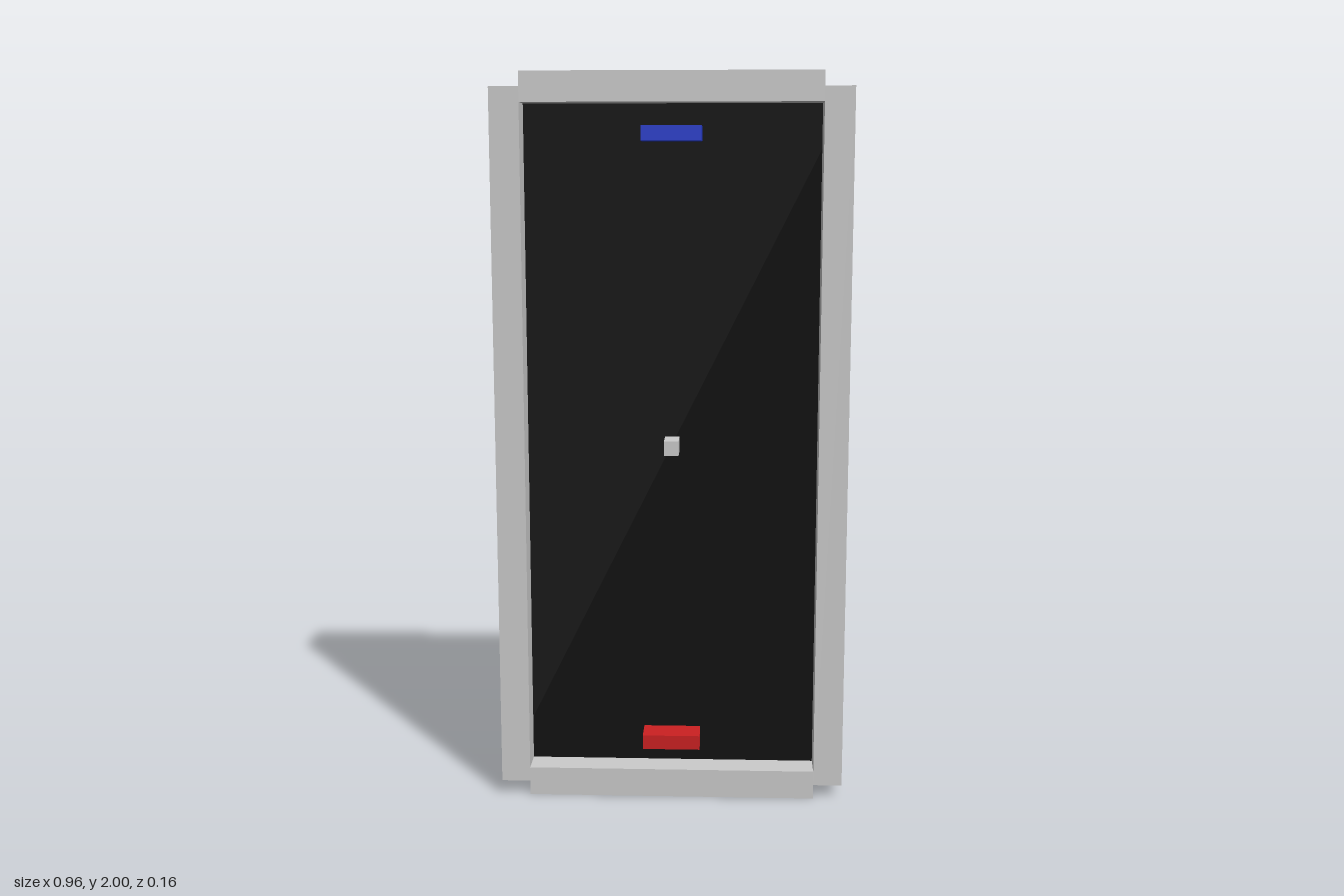
import * as THREE from 'three';

const material = (name, color) => {
  const m = new THREE.MeshStandardMaterial({ color });
  m.name = name;
  return m;
};

export function createModel() {
  const model = new THREE.Group();
  model.name = 'paddleGameTable';

  const black = material('black', 0x0d0d0d);
  const grey = material('lightGrey', 0xcccccc);
  const blue = material('blue', 0x2039cc);
  const red = material('red', 0xcc2022);

  const U = 0.08; // depth shared by every part

  // Box of one depth unit, with its back face at z = back
  const block = (name, mat, w, h, x, y, back = 0) => {
    const mesh = new THREE.Mesh(new THREE.BoxGeometry(w, h, U), mat);
    mesh.name = name;
    mesh.position.set(x, y, back + U / 2);
    model.add(mesh);
  };

  // Playing field board
  block('board', black, 0.96, 1.92, 0, 1, -U);

  // Surrounding walls; the end walls overhang the board by half a unit
  block('leftWall', grey, U, 1.92, 0.44, 1);
  block('rightWall', grey, U, 1.92, -0.44, 1);
  block('topWall', grey, 0.8, U, 0, 1.96);
  block('bottomWall', grey, 0.8, U, 0, 0.04);

  // Paddles and ball
  block('topPaddle', blue, 0.16, 0.04, 0, 1.84);
  block('bottomPaddle', red, 0.16, 0.04, 0, 0.16);
  block('ball', grey, 0.04, 0.04, 0, 1);

  return model;
}
